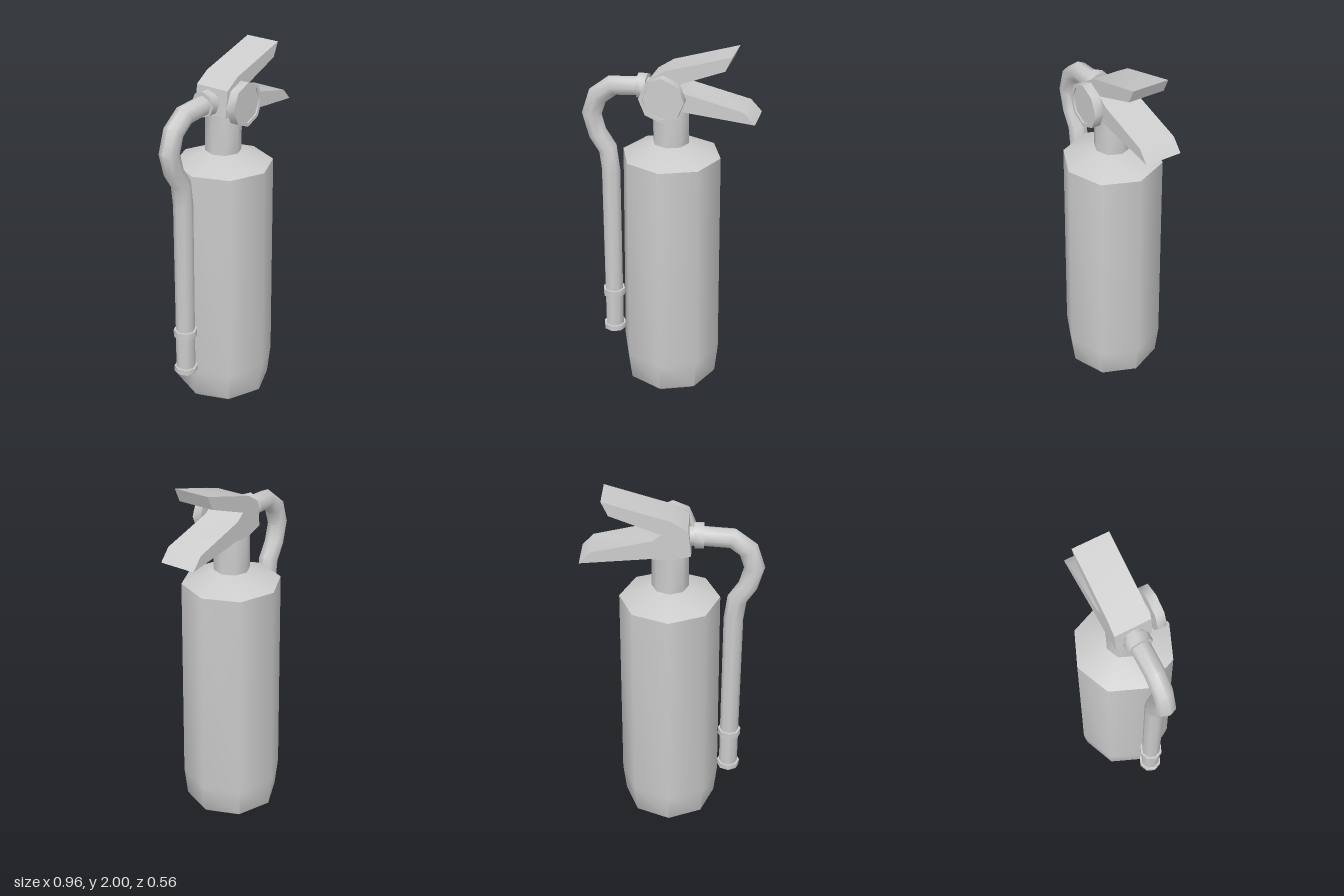
import * as THREE from 'three';
import { toCreasedNormals } from 'three/addons/utils/BufferGeometryUtils.js';

const SIDES = 8;
const material = new THREE.MeshStandardMaterial({ color: 0xcccccc });
const vectors = (points) => points.map(([x, y]) => new THREE.Vector2(x, y));

function part(name, geometry, crease = 0.9) {
  const mesh = new THREE.Mesh(toCreasedNormals(geometry, crease), material);
  mesh.name = name;
  return mesh;
}

const lathe = (points) => new THREE.LatheGeometry(vectors(points), SIDES);
const cylinder = (radius, height) => new THREE.CylinderGeometry(radius, radius, height, SIDES);

// Sweeps an octagon along a path in the xy plane, with mitred bends
function sweep(points, radius) {
  const path = vectors(points);
  const positions = [];
  const index = [];
  path.forEach((p, i) => {
    const before = p.clone().sub(path[Math.max(i - 1, 0)]).normalize();
    const after = path[Math.min(i + 1, path.length - 1)].clone().sub(p).normalize();
    const t = before.clone().add(after).normalize();
    const miter = 1 / Math.max(t.dot(i ? before : after), 0.5);
    for (let j = 0; j < SIDES; j++) {
      const a = (j / SIDES) * Math.PI * 2;
      const across = Math.cos(a) * radius * miter;
      positions.push(p.x - t.y * across, p.y + t.x * across, Math.sin(a) * radius);
      if (i === path.length - 1) continue;
      const k = (j + 1) % SIDES;
      const [q, r, s, u] = [i * SIDES + j, i * SIDES + k, (i + 1) * SIDES + k, (i + 1) * SIDES + j];
      index.push(q, r, s, q, s, u);
    }
  });
  const geometry = new THREE.BufferGeometry();
  geometry.setAttribute('position', new THREE.Float32BufferAttribute(positions, 3));
  geometry.setIndex(index);
  return geometry;
}

export function createModel() {
  const model = new THREE.Group();
  model.name = 'fireExtinguisher';

  // Tank with a rounded base and a sloping shoulder
  const tank = part('tank', lathe([
    [0, 0], [0.225, 0], [0.262, 0.03], [0.28, 0.2], [0.269, 1.4], [0.1, 1.47], [0, 1.47],
  ]));
  tank.position.x = 0.013;
  model.add(tank);

  const neck = part('neck', cylinder(0.098, 0.23));
  neck.position.set(0.01, 1.575, 0);
  model.add(neck);

  // Valve head with both levers in one profile
  const profile = new THREE.Shape(vectors([
    [-0.1, 1.7], [0, 1.675], [0.11, 1.682], [0.475, 1.65], [0.415, 1.713], [0.1, 1.785],
    [0.05, 1.82], [0.315, 1.923], [0.35, 2], [0, 1.895], [-0.085, 1.84],
  ]));
  const headGeometry = new THREE.ExtrudeGeometry(profile, { depth: 0.2, bevelEnabled: false });
  headGeometry.translate(0, 0, -0.1);
  model.add(part('valveHeadAndLevers', headGeometry, 0.6));

  // Pressure gauge with a sunken face, on a short stem
  const gauge = new THREE.Group();
  gauge.name = 'pressureGauge';
  gauge.position.y = 1.76;
  gauge.rotation.x = Math.PI / 2;
  const stem = part('gaugeStem', cylinder(0.05, 0.05));
  stem.position.y = 0.105;
  gauge.add(stem, part('gaugeDial', lathe([
    [0, 0.12], [0.12, 0.12], [0.12, 0.17], [0.1, 0.17], [0.1, 0.162], [0, 0.162],
  ])));
  model.add(gauge);

  // Hose from the valve down the side of the tank
  model.add(part('hose', sweep([
    [-0.07, 1.765], [-0.17, 1.765], [-0.31, 1.755], [-0.395, 1.69], [-0.43, 1.585],
    [-0.4, 1.475], [-0.345, 1.39], [-0.33, 1.265], [-0.33, 0.25],
  ], 0.053)));

  const collar = part('hoseCollar', cylinder(0.07, 0.05));
  collar.position.set(-0.14, 1.77, 0);
  collar.rotation.z = Math.PI / 2;
  model.add(collar);

  // Rings around the nozzle
  for (const [name, y, height] of [['nozzleUpperRing', 0.488, 0.042], ['nozzleEndRing', 0.255, 0.032]]) {
    const ring = part(name, cylinder(0.065, height));
    ring.position.set(-0.33, y, 0);
    model.add(ring);
  }

  return model;
}
